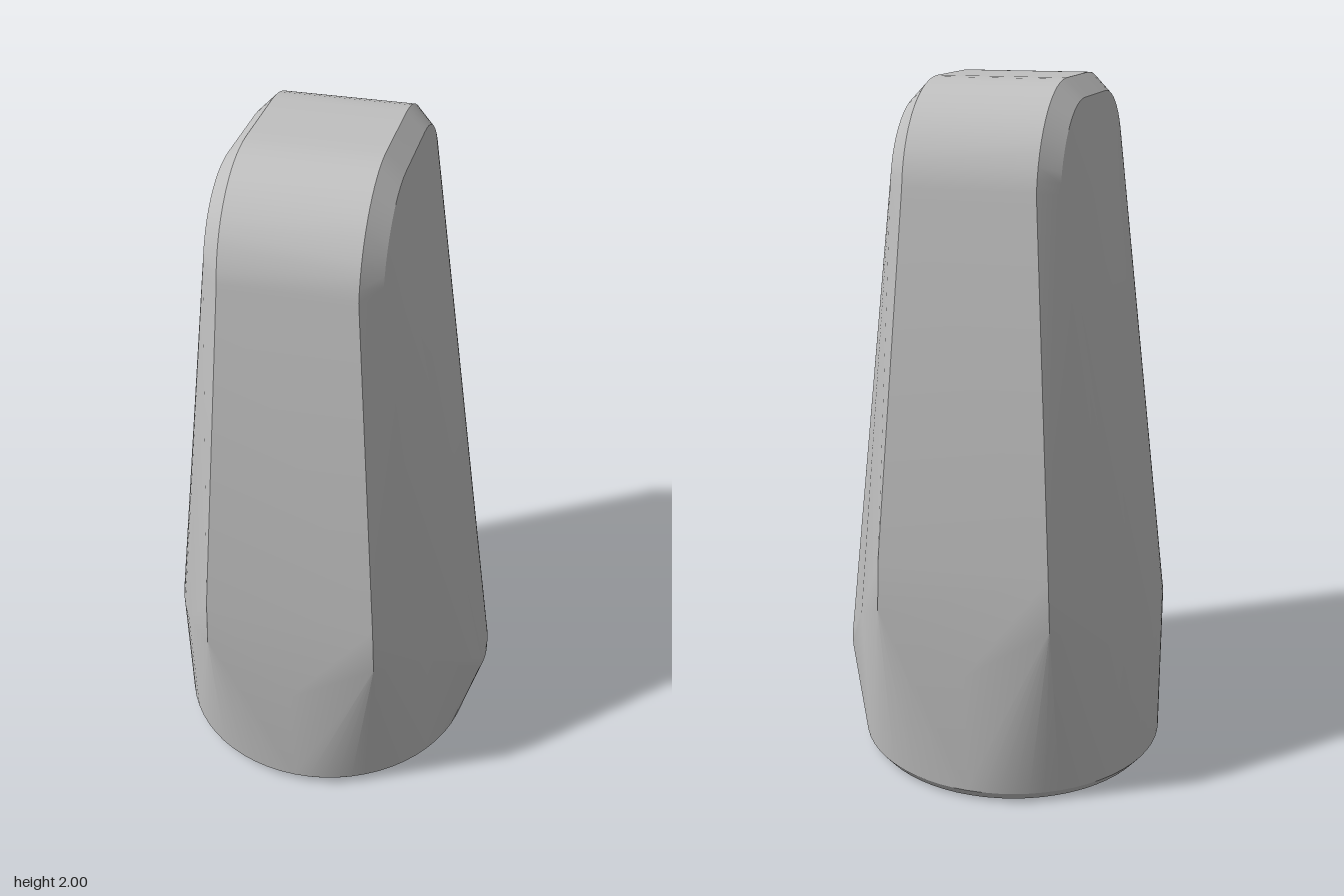
import * as THREE from 'three';
import { ConvexGeometry } from 'three/addons/geometries/ConvexGeometry.js';
import { toCreasedNormals } from 'three/addons/utils/BufferGeometryUtils.js';

export function createModel() {
  const group = new THREE.Group();
  group.name = 'taperedCap';
  const grey = new THREE.MeshStandardMaterial({ color: 0xc0c0c0 });
  grey.name = 'plain grey';

  const points = [];
  const add = (x, y, z) => points.push(new THREE.Vector3(x, y, z));
  const addBoth = (x, y, z) => { add(x, y, z); add(x, y, -z); };

  // Round foot with a small bevel
  const ring = (radius, y) => {
    for (let i = 0; i < 64; i++) {
      const a = (i / 64) * Math.PI * 2;
      add(-0.03 + radius * Math.cos(a), y, radius * Math.sin(a));
    }
  };
  ring(0.43, 0);
  ring(0.455, 0.03);

  // Thin rounded crown: outer rim and inset bevel on each side
  const arch = (x, radius) => {
    for (let i = 0; i <= 14; i++) {
      const a = (i / 14) * Math.PI / 2;
      addBoth(x, 1.7 + radius * 1.035 * Math.sin(a), 0.12 + radius * Math.cos(a));
    }
  };
  for (const x of [-0.21, 0.15]) arch(x, 0.29);
  for (const x of [-0.26, 0.2]) arch(x, 0.242);

  // Widest corners of the front and back faces
  addBoth(-0.275, 0.57, 0.48);
  addBoth(-0.27, 0.72, 0.48);
  addBoth(0.22, 0.57, 0.48);
  addBoth(0.215, 0.72, 0.48);
  addBoth(-0.03, 0.4, 0.48);

  // Broad curved bulge on the right side
  for (let i = 0; i <= 10; i++) {
    const a = (i / 10) * Math.asin(0.3 / 0.57);
    addBoth(0.085 - 0.57 * Math.cos(a), 0.47, 0.57 * Math.sin(a));
  }

  // Pointed nose on the left side
  for (const y of [0.24, 0.28]) {
    for (let i = 0; i <= 4; i++) {
      const z = i * 0.0175;
      addBoth(0.485 - 2 * z * z, y, z);
    }
  }
  addBoth(0.345, 0.47, 0.3);

  // Convex skin stretched over all the cross-sections
  const body = new THREE.Mesh(toCreasedNormals(new ConvexGeometry(points), 0.4), grey);
  body.name = 'body';
  group.add(body);
  return group;
}
